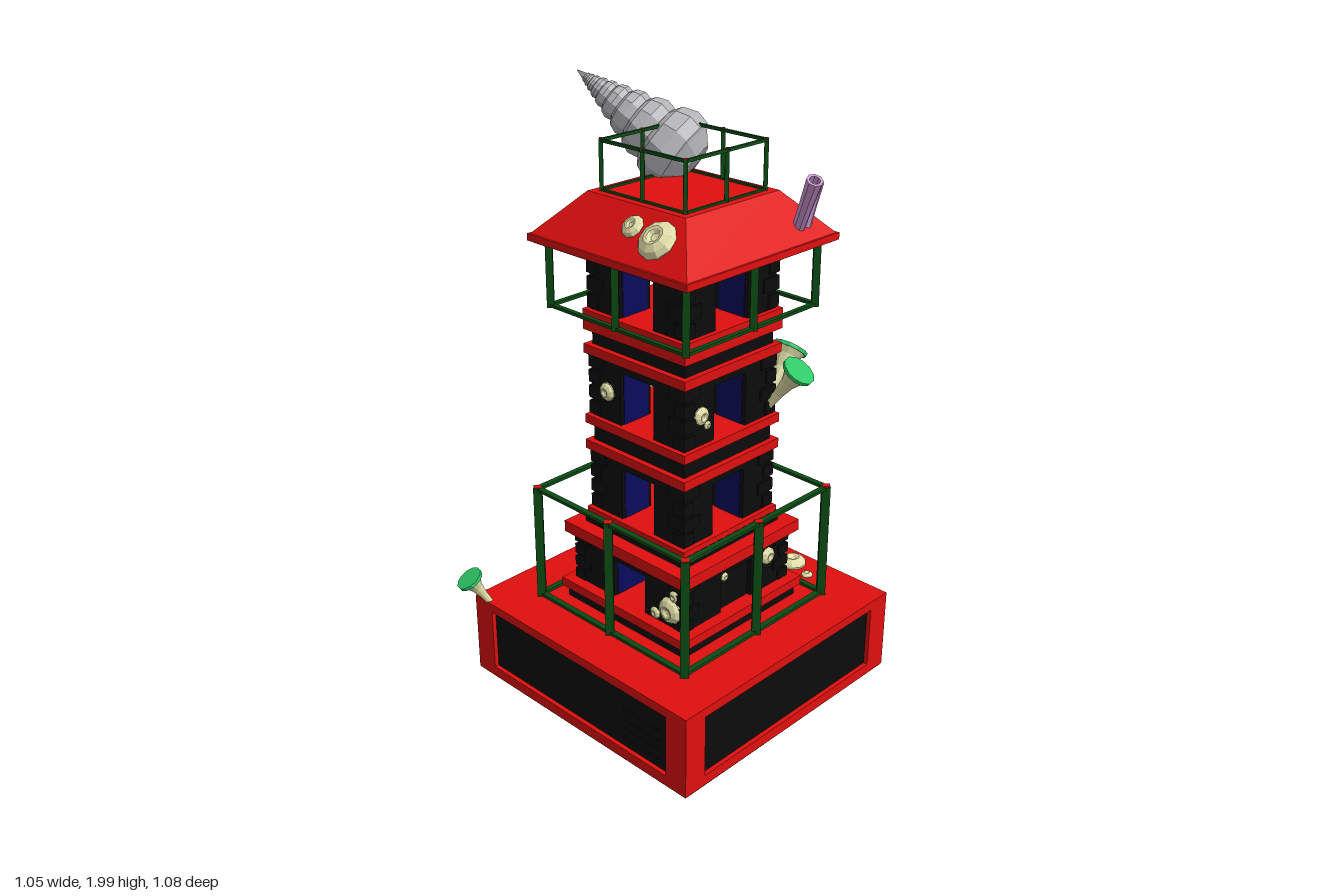
import * as THREE from 'three';

const CX = 0.03, CZ = -0.043; // tower axis
const mat = (color, side = THREE.FrontSide) => new THREE.MeshStandardMaterial({ color, flatShading: true, side });
const RED = mat(0xe00f0f), BLACK = mat(0x0c0c0c), GREEN = mat(0x0b4a14), BLUE = mat(0x0a0a5c);
const SHELL = mat(0xb4b4b8, THREE.DoubleSide), PALE = mat(0xdfdca6, THREE.DoubleSide);
const CLAY = mat(0xd9643f, THREE.DoubleSide), PINK = mat(0xd19bd6, THREE.DoubleSide);
const MINT = mat(0x2fc866, THREE.DoubleSide);

function add(parent, name, geo, material, x = 0, y = 0, z = 0) {
  const m = new THREE.Mesh(geo, material);
  m.name = name;
  m.position.set(x, y, z);
  parent.add(m);
  return m;
}

// box given by its horizontal size and its bottom and top heights
const block = (p, name, material, w, d, y0, y1, x = 0, z = 0) =>
  add(p, name, new THREE.BoxGeometry(w, y1 - y0, d), material, x, (y0 + y1) / 2, z);

const lathe = (pts, sides) => new THREE.LatheGeometry(pts.map(([x, y]) => new THREE.Vector2(x, y)), sides);

// stand an object on a point with its +y along a direction
function aim(obj, at, dir) {
  obj.position.set(...at);
  obj.quaternion.setFromUnitVectors(new THREE.Vector3(0, 1, 0), new THREE.Vector3(...dir).normalize());
  return obj;
}

function group(parent, name) {
  const g = new THREE.Group();
  g.name = name;
  parent.add(g);
  return g;
}

// square railing: eight posts with red tips, rails at chosen heights
function railing(parent, name, half, y0, y1, r, railHeights) {
  const g = group(parent, name), c = half - r;
  for (const i of [-1, 0, 1]) for (const j of [-1, 0, 1]) {
    if (!i && !j) continue;
    add(g, 'railingPost', new THREE.CylinderGeometry(r, r, y1 - y0, 4), GREEN, i * c, (y0 + y1) / 2, j * c);
    add(g, 'postTip', new THREE.CylinderGeometry(r * 0.8, r * 0.8, 0.004, 4), RED, i * c, y1, j * c);
  }
  for (const y of railHeights) for (const s of [-1, 1]) {
    block(g, 'rail', GREEN, 2 * c, r, y - 0.005, y + 0.005, 0, s * c);
    block(g, 'rail', GREEN, r, 2 * c, y - 0.005, y + 0.005, s * c, 0);
  }
}

// storey of four corner piers around a crossing passage
function storey(parent, half, y0, y1, top, closedSides) {
  const g = group(parent, 'storey'), gap = 0.072, w = half - gap, c = (half + gap) / 2;
  for (const i of [-1, 1]) for (const j of [-1, 1]) {
    block(g, 'cornerPier', BLACK, w, w, y0, y1, i * c, j * c);
    block(g, 'blueReveal', BLUE, 0.004, w * 0.8, y0, top, i * gap, j * c);
    block(g, 'blueReveal', BLUE, w * 0.8, 0.004, y0, top, i * c, j * gap);
    // protruding corner stones in staggered rows
    for (let k = 0; k < 4; k++) {
      const h = (y1 - y0) / 4, s = k % 2 ? 0.07 : 0.045;
      block(g, 'cornerStone', BLACK, s, s, y0 + k * h + 0.006, y0 + (k + 1) * h - 0.006,
        i * (half + 0.007 - s / 2), j * (half + 0.007 - s / 2));
    }
  }
  block(g, 'lintel', BLACK, 2 * half, 2 * half, top, y1);
  if (closedSides) for (const s of [-1, 1]) block(g, 'sideWall', BLACK, 0.05, 0.16, y0, y1, s * (half - 0.04));
}

function barnacle(parent, r, at, dir) {
  const geo = lathe([[1, -0.15], [1.02, 0.15], [0.85, 0.4], [0.5, 0.58], [0.36, 0.55], [0.2, 0.4], [0.001, 0.36]], 10);
  const p = geo.attributes.position;
  // alternate ribs
  for (let i = 0; i < p.count; i++) {
    const a = Math.atan2(p.getZ(i), p.getX(i)), k = 1 + 0.06 * Math.cos(5 * a);
    p.setXYZ(i, p.getX(i) * k, p.getY(i), p.getZ(i) * k);
  }
  aim(add(parent, 'barnacle', geo.scale(r, r, r), PALE), at, dir);
}

function horn(parent, from, to, r) {
  const d = to.map((v, i) => v - from[i]), L = Math.hypot(...d);
  const g = aim(group(parent, 'hornPolyp'), from, d);
  add(g, 'hornStalk', lathe([[r * 0.25, -0.01], [r * 0.3, L * 0.3], [r * 0.45, L * 0.65], [r * 0.7, L * 0.87], [r, L]], 12), PALE);
  add(g, 'hornCap', new THREE.CylinderGeometry(r * 1.02, r, 0.012, 12), MINT, 0, L, 0);
}

function tube(parent, from, to, r) {
  const d = to.map((v, i) => v - from[i]), L = Math.hypot(...d);
  const geo = lathe([[r * 0.75, -0.02], [r * 0.85, L * 0.5], [r, L], [r * 0.65, L], [r * 0.6, L * 0.75], [0.001, L * 0.72]], 8);
  aim(add(parent, 'tubeSponge', geo, PINK), from, d);
}

function pot(parent, at, r, h, dir) {
  const geo = lathe([[0.001, 0], [r * 0.65, 0], [r * 0.95, h * 0.25], [r, h * 0.55], [r * 0.85, h * 0.8], [r * 0.68, h * 0.88],
    [r * 0.78, h], [r * 0.55, h], [r * 0.5, h * 0.8], [r * 0.4, h * 0.6], [0.001, h * 0.6]], 10);
  aim(add(parent, 'clayPot', geo, CLAY), at, dir);
}

export function createModel() {
  const model = new THREE.Group();
  model.name = 'watchtower';
  const tower = group(model, 'tower');
  tower.position.set(CX, 0, CZ);

  // plinth: black core in a red frame
  const plinth = group(tower, 'plinth');
  block(plinth, 'plinthCore', BLACK, 0.96, 0.96, 0.01, 0.28);
  block(plinth, 'plinthTop', RED, 0.99, 0.99, 0.26, 0.292);
  block(plinth, 'plinthBottomFrame', RED, 0.99, 0.99, 0.004, 0.04);
  block(plinth, 'plinthUnderside', BLACK, 0.985, 0.985, 0, 0.01);
  for (const i of [-1, 1]) for (const j of [-1, 1])
    block(plinth, 'plinthCorner', RED, 0.085, 0.085, 0.004, 0.28, i * 0.4525, j * 0.4525);
  for (let k = 0; k < 4; k++) block(plinth, 'panelSlat', BLACK, 0.15, 0.01, 0.07 + k * 0.035, 0.08 + k * 0.035, 0.29, 0.48);

  // storeys: half width, bottom, top, opening top, closed sides
  storey(tower, 0.245, 0.36, 0.545, 0.5, true);
  storey(tower, 0.203, 0.635, 0.85, 0.815, false);
  storey(tower, 0.203, 0.97, 1.185, 1.15, false);
  storey(tower, 0.203, 1.33, 1.555, 1.54, false);

  // solid courses and red bands between them
  for (const [half, y0, y1, m] of [
    [0.27, 0.285, 0.335, BLACK], [0.285, 0.33, 0.362, RED], [0.275, 0.54, 0.58, RED], [0.225, 0.575, 0.615, BLACK],
    [0.22, 0.61, 0.635, RED], [0.22, 0.848, 0.88, RED], [0.2, 0.875, 0.945, BLACK], [0.22, 0.94, 0.97, RED],
    [0.22, 1.182, 1.213, RED], [0.2, 1.21, 1.265, BLACK], [0.22, 1.262, 1.33, RED]])
    block(tower, m === RED ? 'redBand' : 'darkCourse', m, 2 * half, 2 * half, y0, y1);

  // roof
  block(tower, 'eavesUnderside', BLACK, 0.64, 0.64, 1.542, 1.556);
  block(tower, 'eaves', RED, 0.67, 0.67, 1.55, 1.572);
  const roof = add(tower, 'roof', new THREE.CylinderGeometry(0.203 * Math.SQRT2, 0.33 * Math.SQRT2, 0.135, 4), RED, 0, 1.637, 0);
  roof.rotation.y = Math.PI / 4;

  railing(tower, 'lowerRailing', 0.355, 0.292, 0.705, 0.02, [0.3, 0.7]);
  railing(tower, 'balconyRailing', 0.305, 1.335, 1.55, 0.016, [1.342, 1.545]);
  railing(tower, 'roofRailing', 0.182, 1.7, 1.862, 0.009, [1.706, 1.857]);

  // spiral shell: whorls growing from the tip
  const tip = [-0.455, 1.992, -0.065], base = [-0.09, 1.725, -0.222];
  const dir = tip.map((v, i) => v - base[i]), L = Math.hypot(...dir);
  const prof = [[0.001, 0], [0.07, 0.005], [0.115, 0.045]];
  let y = 0.05;
  for (let k = 0; k < 9; k++) {
    const r = 0.148 * Math.pow(1 - y / L, 0.9), h = (L - y) * 0.25;
    prof.push([r * 0.93, y], [r, y + h * 0.4], [r * 0.87, y + h * 0.85], [r * 0.7, y + h]);
    y += h;
  }
  prof.push([0.001, L]);
  aim(add(model, 'spiralShell', lathe(prof, 11), SHELL), base, dir);

  // sponges, horns and pots
  tube(model, [0.31, 1.6, -0.245], [0.4, 1.775, -0.203], 0.026);
  tube(model, [0.31, 1.6, -0.275], [0.342, 1.745, -0.28], 0.026);
  horn(model, [-0.408, 0.29, 0.44], [-0.435, 0.385, 0.494], 0.046);
  horn(model, [0.235, 1.01, -0.235], [0.325, 1.138, -0.258], 0.055);
  horn(model, [0.21, 1.0, -0.24], [0.2, 1.148, -0.368], 0.057);
  pot(model, [-0.445, 0.288, -0.46], 0.082, 0.205, [-0.06, 1, -0.03]);
  pot(model, [-0.415, 0.288, -0.32], 0.054, 0.12, [0, 1, 0]);

  // barnacles: radius, position, facing
  const F = [0, 0, 1], R = [1, 0, 0], W = [-1, 0, 0], U = [0, 1, 0];
  for (const [r, at, n] of [
    [0.037, [0.067, 1.652, 0.203], [0, 1, 0.9]], [0.064, [0.18, 1.635, 0.213], [0, 1, 0.9]],
    [0.058, [-0.09, 1.63, -0.315], [0, 1, -0.9]],
    [0.047, [0.17, 0.292, -0.465], U], [0.02, [0.258, 0.292, -0.437], U],
    [0.03, [-0.1, 1.07, 0.16], F], [0.045, [0.22, 0.425, 0.202], F], [0.02, [0.15, 0.385, 0.202], F], [0.02, [0.235, 0.48, 0.202], F],
    [0.03, [0.233, 1.07, 0.09], R], [0.014, [0.233, 1.03, 0.06], R],
    [0.03, [0.275, 0.48, -0.195], R], [0.015, [0.275, 0.49, 0.015], R], [0.013, [0.275, 0.49, -0.147], R],
    [0.045, [-0.215, 0.46, -0.19], W], [0.045, [-0.173, 1.46, -0.18], W], [0.03, [-0.173, 0.77, -0.14], W]])
    barnacle(model, r, at, n);

  return model;
}
